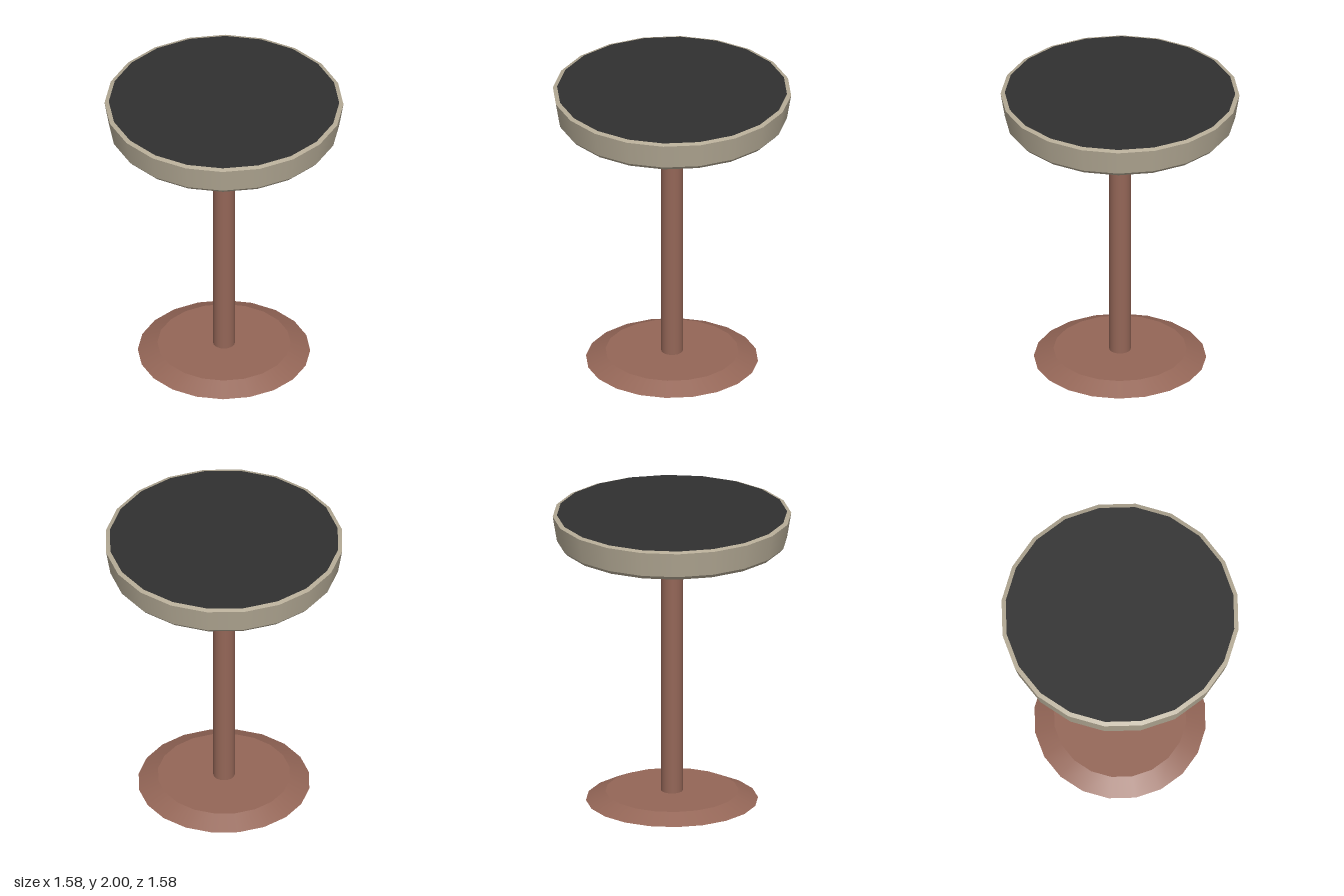
import * as THREE from 'three';

const SIDES = 20;

export function createModel() {
  const group = new THREE.Group();
  const material = (color) => new THREE.MeshStandardMaterial({ color });
  const shell = material(0xb5ab96);
  const cushion = material(0x303030);
  const metal = material(0x946657);

  // Frustum from height y0 (radius r0) to y1 (radius r1)
  function frustum(name, r0, y0, r1, y1, mat, open = false) {
    const geometry = new THREE.CylinderGeometry(r1, r0, y1 - y0, SIDES, 1, open);
    geometry.translate(0, (y0 + y1) / 2, 0);
    const mesh = new THREE.Mesh(geometry, mat);
    mesh.name = name;
    group.add(mesh);
  }

  // Flat disc, facing up or down
  function disc(name, r, y, up, mat) {
    const geometry = new THREE.CircleGeometry(r, SIDES);
    geometry.rotateX(up ? -Math.PI / 2 : Math.PI / 2);
    geometry.translate(0, y, 0);
    const mesh = new THREE.Mesh(geometry, mat);
    mesh.name = name;
    group.add(mesh);
  }

  // Flared foot and pole
  frustum('base', 0.57, 0, 0.44, 0.06, metal);
  frustum('pole', 0.072, 0.06, 0.072, 1.775, metal);

  // Seat shell: underside, lower bevel, tapered side, top rim
  disc('seatUnderside', 0.74, 1.795, false, shell);
  frustum('seatLowerBevel', 0.74, 1.795, 0.762, 1.82, shell, true);
  frustum('seatSide', 0.762, 1.82, 0.79, 1.99, shell, true);
  frustum('seatRim', 0.79, 1.99, 0.762, 2, shell, true);

  // Dark seat surface
  disc('seatTop', 0.762, 2, true, cushion);

  return group;
}
